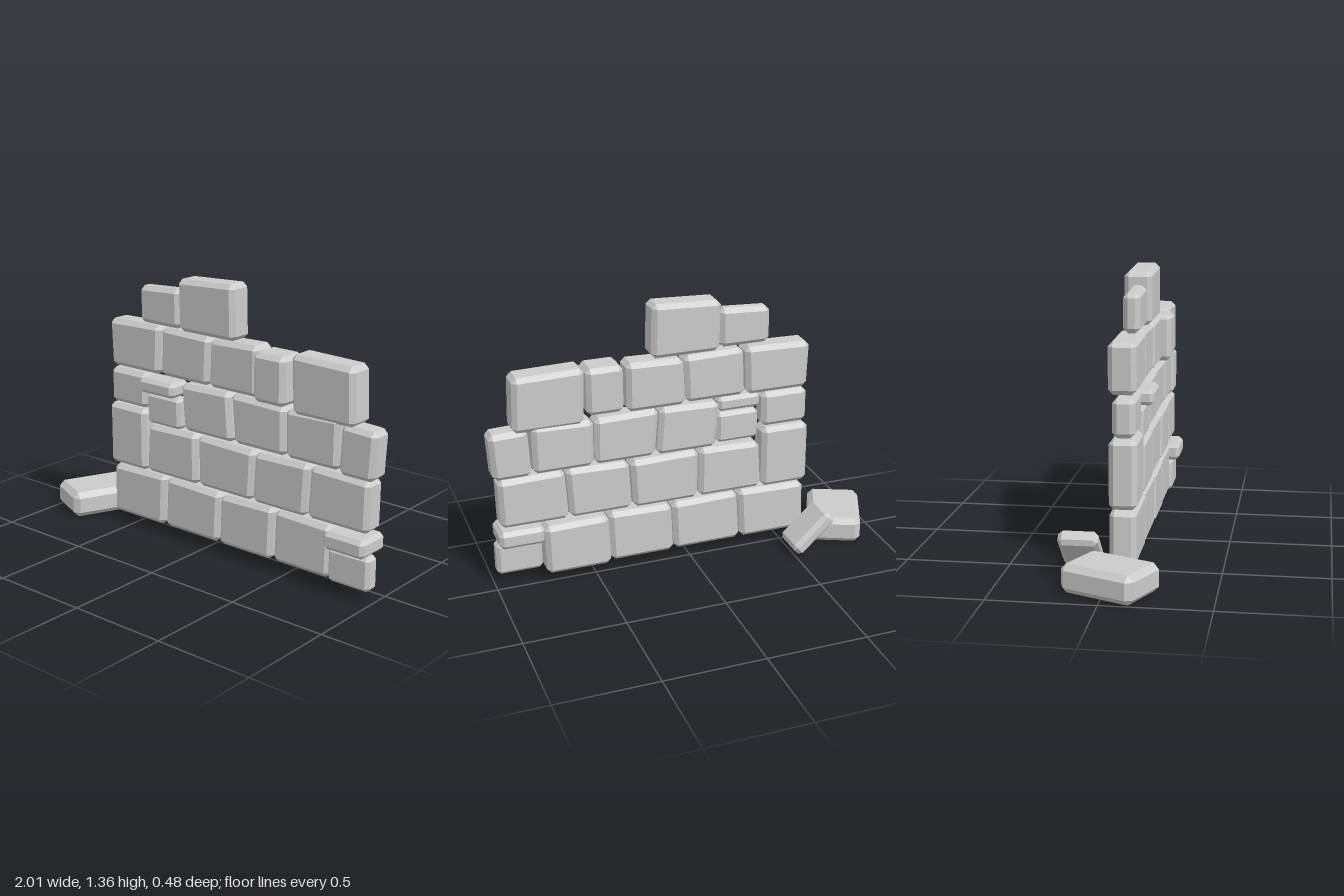
import * as THREE from 'three';
import { ConvexGeometry } from 'three/addons/geometries/ConvexGeometry.js';

const material = new THREE.MeshStandardMaterial({ color: 0xcccccc, flatShading: true });

// Chamfered block: a four-cornered outline (bl, br, tr, tl) given depth from z0 to z1
function chamferedStone(name, outline, z0, z1, c) {
  const points = [];
  outline.forEach((p, i) => {
    const u = outline[(i + 1) % 4].clone().sub(p).setLength(c);
    const v = outline[(i + 3) % 4].clone().sub(p).setLength(c);
    for (const [z, inset] of [[z0, c], [z1, -c]]) {
      const at = (q, depth) => points.push(new THREE.Vector3(q.x, q.y, depth));
      at(p.clone().add(u).add(v), z);
      at(p.clone().add(u), z + inset);
      at(p.clone().add(v), z + inset);
    }
  });
  const mesh = new THREE.Mesh(new ConvexGeometry(points), material);
  mesh.name = name;
  return mesh;
}

// Nearly rectangular stone; lean shifts the top edge sideways, tilt lifts its right end
function block(name, x0, x1, y0, y1, z0, z1, { c = .023, lean = 0, tilt = 0 } = {}) {
  const corner = (x, y) => new THREE.Vector2(x, y);
  const outline = [corner(x0, y0), corner(x1, y0), corner(x1 + lean, y1 + tilt), corner(x0 + lean, y1 - tilt)];
  return chamferedStone(name, outline, z0, z1, c);
}

// Row of stones between joints, each joint running from a low x to a high x
function course(name, y0, y1, low, high, backs, front = .115) {
  const group = new THREE.Group();
  group.name = name;
  const gap = .003;
  backs.forEach((back, i) => {
    const rise = i % 2 ? .004 : -.004;
    const outline = [
      new THREE.Vector2(low[i] + gap, y0), new THREE.Vector2(low[i + 1] - gap, y0),
      new THREE.Vector2(high[i + 1] - gap, y1 - rise), new THREE.Vector2(high[i] + gap, y1 + rise)];
    group.add(chamferedStone(`${name}Stone${i + 1}`, outline, back, front - Math.abs(rise) * (i % 2), .023));
  });
  return group;
}

export function createModel() {
  const model = new THREE.Group();
  model.name = 'ruinedStoneWall';

  // Full courses, bottom to top
  model.add(
    course('bottomCourse', .05, .314, [-.63, -.275, .085, .42, .755], [-.625, -.26, .095, .43, .76], [-.01, -.01, -.015, -.038]),
    course('secondCourse', .325, .582, [-.39, -.045, .297, .62, .967], [-.375, -.05, .31, .635, .97], [-.01, -.012, -.005, -.005], .12),
    course('thirdCourse', .592, .834, [-.14, .175, .49, .795], [-.16, .155, .485, .795], [-.012, -.01, -.015]),
    course('fourthCourse', .845, 1.09, [-.625, -.295, .02, .325], [-.635, -.285, .03, .325], [-.015, -.005, -.02]));

  // Odd stones filling the ends and steps of the courses
  const thin = { c: .018 };
  model.add(
    block('lowerEndStone', .755, .985, .05, .22, .045, .125, thin),
    block('projectingEndStone', .75, .977, .22, .31, -.022, .163, { c: .02 }),
    block('tallEndStone', -.64, -.39, .32, .645, -.01, .12),
    block('smallEndStone', -.633, -.39, .65, .832, .005, .11),
    block('recessedFillStone', -.38, -.16, .585, .745, .035, .115, thin),
    block('projectingFillStone', -.387, -.163, .755, .83, .03, .165, thin),
    block('rightEndStone', .795, .985, .58, .82, 0, .122, { lean: .013, tilt: -.004 }),
    block('projectingNarrowStone', .33, .515, .845, 1.083, 0, .162),
    block('wideUpperStone', .535, .883, .815, 1.095, -.015, .128, { lean: -.01, tilt: -.004 }));

  // Remains of the top course
  model.add(
    block('smallTopStone', -.43, -.17, 1.095, 1.287, .025, .105, { tilt: .007 }),
    block('largeTopStone', -.157, .192, 1.095, 1.358, -.008, .125, { lean: -.007, tilt: .008 }));

  // Fallen stone lying flat
  const flat = block('fallenStone', -.135, .135, 0, .135, -.188, .188, { c: .028 });
  flat.position.set(-.82, 0, .027);
  flat.rotation.y = -.42;
  model.add(flat);

  // Thin slab leaning behind the wall's end
  const slab = block('leaningSlab', -.13, .13, -.037, .037, -.093, .093, { c: .02 });
  slab.position.set(-.592, .12, -.143);
  slab.rotation.z = -.74;
  model.add(slab);

  return model;
}
